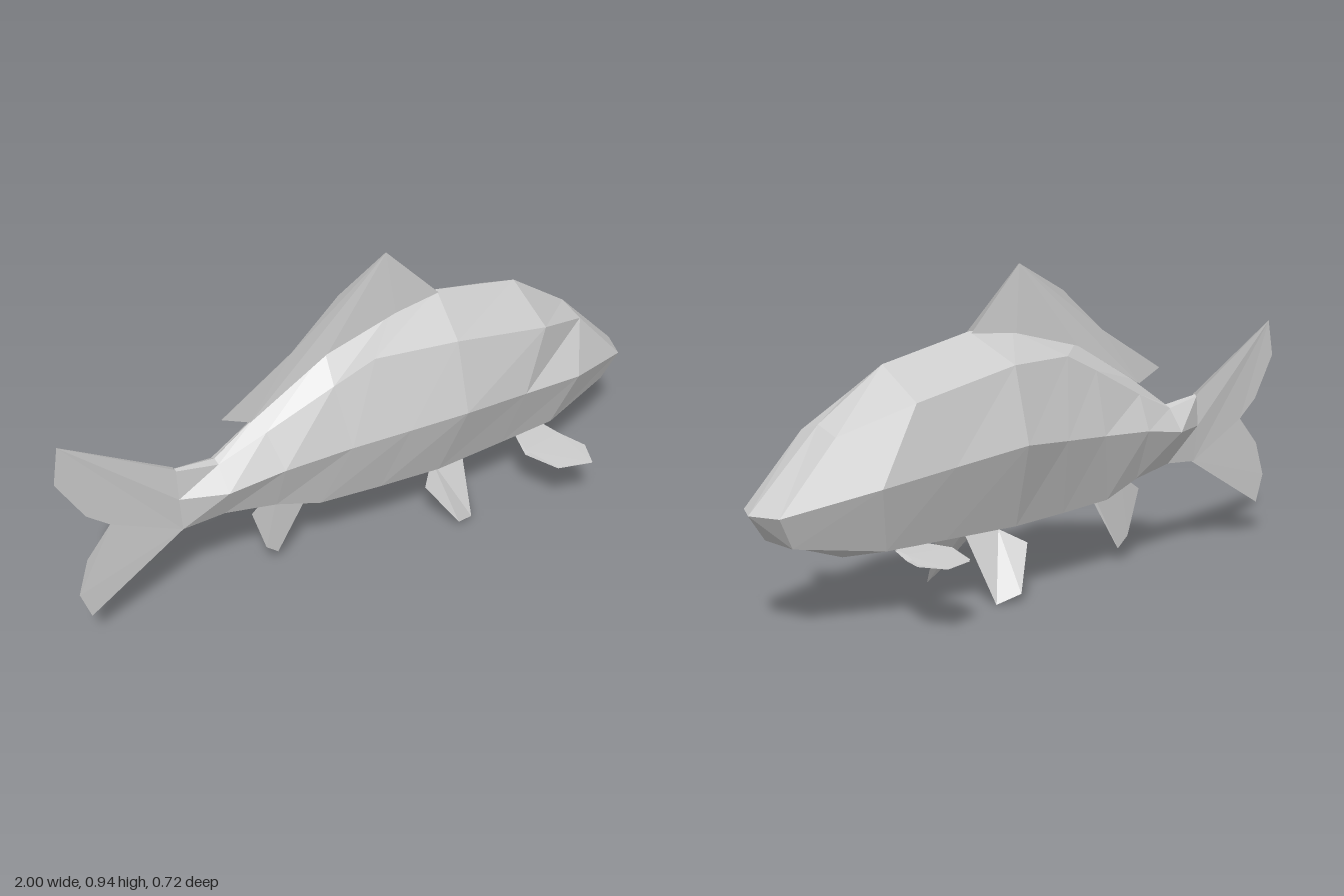
import * as THREE from 'three';

const grey = new THREE.MeshStandardMaterial({ color: 0xcccccc, flatShading: true });
const finGrey = new THREE.MeshStandardMaterial({ color: 0xcccccc, flatShading: true, side: THREE.DoubleSide });

// Builds a faceted mesh from a list of corner vectors, three per face
function facets(name, corners, material) {
  const geometry = new THREE.BufferGeometry().setFromPoints(corners);
  geometry.computeVertexNormals();
  const mesh = new THREE.Mesh(geometry, material);
  mesh.name = name;
  return mesh;
}

// Body: rails run from tail root to snout, [x, y, half width]
function makeBody() {
  const top = [[-.64, .5, 0], [-.51, .48, 0], [-.36, .575, 0], [-.13, .7, 0], [.11, .755, 0],
    [.27, .765, 0], [.57, .695, 0], [.78, .55, 0], [1, .33, 0]];
  const upper = [[-.64, .495, .008], [-.51, .47, .02], [-.36, .53, .04], [-.15, .625, .075], [-.02, .68, .095],
    [.23, .68, .16], [.57, .605, .16], [.78, .525, .085], [.96, .33, .09]];
  const middle = [[-.64, .4, .015], [-.51, .4, .075], [-.34, .425, .105], [-.13, .437, .14], [.05, .448, .18],
    [.23, .46, .22], [.47, .425, .203], [.7, .39, .185], [.96, .33, .09]];
  const lower = [[-.63, .285, .008], [-.5, .295, .025], [-.34, .27, .05], [-.2, .225, .07], [0, .217, .1],
    [.2, .21, .125], [.45, .207, .125], [.65, .205, .125], [.91, .24, .07]];
  const belly = [[-.63, .285, 0], [-.5, .295, 0], [-.34, .27, 0], [-.2, .225, 0], [0, .2, 0],
    [.2, .175, 0], [.45, .175, 0], [.71, .175, 0], [.91, .24, 0]];

  const rails = [[top, 1], [upper, 1], [middle, 1], [lower, 1], [belly, 1], [lower, -1], [middle, -1], [upper, -1]];
  const n = rails.length;
  const at = (i, j) => {
    const [rail, side] = rails[j % n];
    return new THREE.Vector3(rail[i][0], rail[i][1], rail[i][2] * side);
  };
  const corners = [];
  const last = top.length - 1;
  for (let i = 0; i < last; i++) {
    for (let j = 0; j < n; j++) {
      corners.push(at(i, j), at(i, j + 1), at(i + 1, j));
      corners.push(at(i, j + 1), at(i + 1, j + 1), at(i + 1, j));
    }
  }
  // Snout and tail-root caps
  for (let j = 1; j < n - 1; j++) {
    corners.push(at(last, 0), at(last, j), at(last, j + 1));
    corners.push(at(0, 0), at(0, j + 1), at(0, j));
  }
  return facets('body', corners, grey);
}

// Fin: outline of [x, y, z, half thickness], thickened along an axis; side mirrors z
function makeFin(name, outline, axis = 'z', side = 1) {
  const flat = outline.map(([x, y, z]) => new THREE.Vector2(x, axis === 'y' ? z : y));
  const corners = [];
  for (const face of THREE.ShapeUtils.triangulateShape(flat, [])) {
    for (const dir of [1, -1]) {
      const order = dir === 1 ? face : [...face].reverse();
      for (const k of order) {
        const [x, y, z, t] = outline[k];
        const p = new THREE.Vector3(x, y, z * side);
        p[axis] += t * dir;
        corners.push(p);
      }
    }
  }
  return facets(name, corners, finGrey);
}

export function createModel() {
  const fish = new THREE.Group();
  fish.name = 'fish';
  fish.add(makeBody());

  // Forked tail, sharing its root with the body
  fish.add(makeFin('tailFin', [
    [-.64, .5, 0, .008], [-.98, .715, 0, .001], [-1, .6, 0, .001], [-.92, .46, 0, .001], [-.85, .4, 0, .001],
    [-.93, .31, 0, .001], [-.965, .2, 0, .001], [-.935, .11, 0, .001], [-.63, .285, 0, .008], [-.64, .4, 0, .015],
  ]));

  // Back fin
  fish.add(makeFin('dorsalFin', [
    [.27, .76, 0, .012], [.085, .95, 0, .001], [-.08, .865, 0, .001], [-.24, .735, 0, .001], [-.48, .6, 0, .001],
    [-.39, .558, 0, .006], [-.13, .695, 0, .014], [.11, .75, 0, .018],
  ]));

  // Rear belly fin
  fish.add(makeFin('analFin', [
    [-.31, .28, 0, .01], [-.395, .225, 0, .002], [-.35, .08, 0, .001], [-.31, .045, 0, .001], [-.2, .228, 0, .01],
  ]));

  // Paired fins on both sides
  for (const [label, side] of [['Left', -1], ['Right', 1]]) {
    fish.add(makeFin('pelvicFin' + label, [
      [.22, .195, .065, .003], [.155, .155, .12, .001], [.235, .03, .19, .001],
      [.305, .005, .165, .001], [.335, .19, .065, .003],
    ], 'z', side));
    fish.add(makeFin('pectoralFin' + label, [
      [.51, .204, .12, .002], [.485, .196, .2, .009], [.515, .196, .32, .002], [.62, .196, .36, .001],
      [.66, .196, .28, .003], [.63, .196, .19, .009], [.62, .204, .12, .002],
    ], 'y', side));
  }
  return fish;
}
